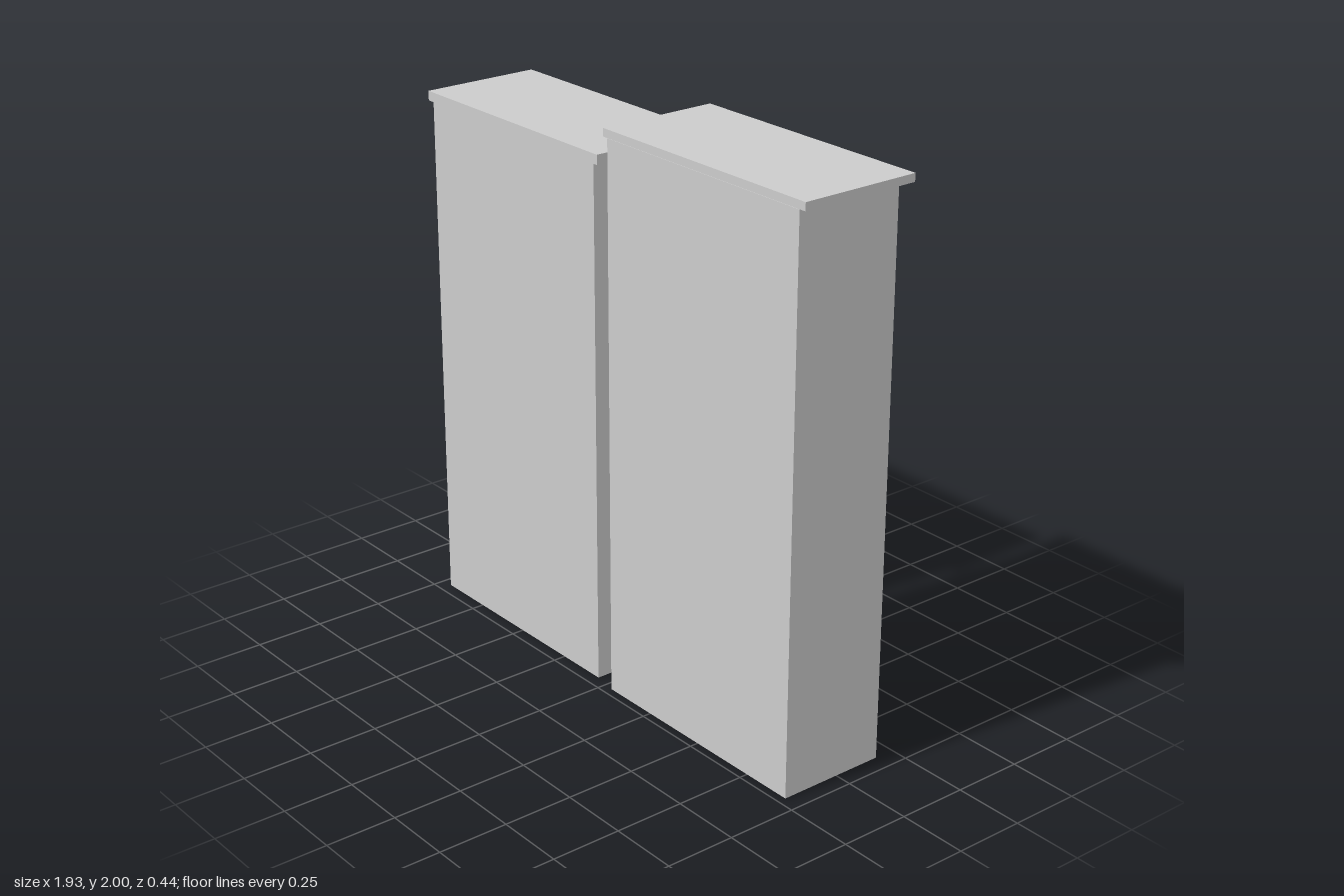
import * as THREE from 'three';

const material = new THREE.MeshStandardMaterial({ color: 0xcccccc, flatShading: true });

// Box given by its extents on each axis
function slab(name, [x0, x1], [y0, y1], [z0, z1]) {
  const mesh = new THREE.Mesh(new THREE.BoxGeometry(x1 - x0, y1 - y0, z1 - z0), material);
  mesh.position.set((x0 + x1) / 2, (y0 + y1) / 2, (z0 + z1) / 2);
  mesh.name = name;
  return mesh;
}

// Tall cabinet: plain body under a thin top that overhangs the sides and back
function cabinet(name, centreX, bottom, bodyTop, top, front) {
  const group = new THREE.Group();
  group.name = name;
  group.add(
    slab('body', [centreX - 0.45, centreX + 0.45], [bottom, bodyTop], [-0.177, front]),
    slab('topBoard', [centreX - 0.473, centreX + 0.473], [bodyTop, top], [-0.22, 0.218]),
  );
  return group;
}

export function createModel() {
  const model = new THREE.Group();
  model.name = 'cabinetPair';
  model.add(
    cabinet('shortCabinet', -0.493, 0.008, 1.87, 1.904, 0.214),
    cabinet('tallCabinet', 0.487, 0, 1.972, 2, 0.22),
  );
  return model;
}
